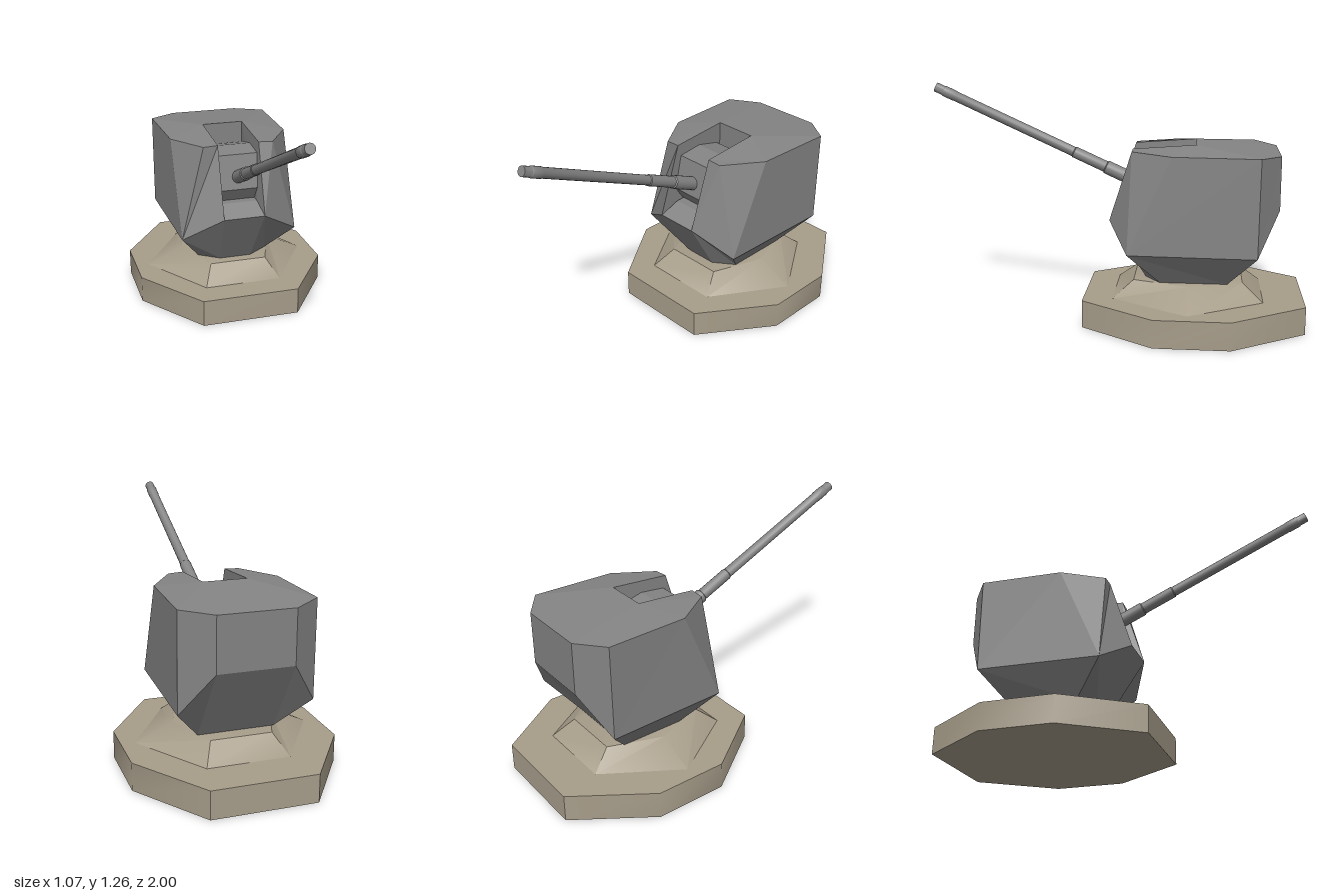
import * as THREE from 'three';
import { toCreasedNormals } from 'three/addons/utils/BufferGeometryUtils.js';

const steel = new THREE.MeshStandardMaterial({ color: 0x848484 });
steel.name = 'steel grey';
const concrete = new THREE.MeshStandardMaterial({ color: 0xa79d8a });
concrete.name = 'concrete tan';

const mirror = ([x, y, z]) => [-x, y, z];

// Fan-triangulates polygons; edges sharper than the crease angle stay hard
function polyGeometry(faces, crease) {
  const pos = [];
  for (const f of faces)
    for (let i = 1; i < f.length - 1; i++) pos.push(...f[0], ...f[i], ...f[i + 1]);
  const geo = new THREE.BufferGeometry();
  geo.setAttribute('position', new THREE.Float32BufferAttribute(pos, 3));
  geo.computeVertexNormals();
  return crease ? toCreasedNormals(geo, crease) : geo;
}

// Symmetric ring from its +x half, listed front to back
function ring(half, y) {
  const pts = half.map(([x, z]) => [x, y, z]);
  return [...pts, ...pts.map(mirror).reverse()];
}

function loft(low, high, crease) {
  const faces = low.map((p, i) => {
    const j = (i + 1) % low.length;
    return [p, low[j], high[j], high[i]];
  });
  return polyGeometry([...faces, high, [...low].reverse()], crease);
}

function turretShell() {
  const noseEdge = [0.115, 0.55, 0.035], frontLow = [0.327, 0.415, -0.075];
  const frontTop = [0.195, 0.933, -0.09], notchTop = [0.115, 0.937, -0.09];
  const sideTop = [0.33, 0.93, -0.3], backSideTop = [0.345, 0.928, -0.745];
  const backSideLow = [0.345, 0.415, -0.74];
  const backTop = [0.195, 0.92, -0.855], backLow = [0.195, 0.64, -0.855];
  const ridge = [0.115, 0.962, -0.42];
  const footFront = [0.09, 0.238, -0.16], footSide = [0.2, 0.238, -0.24], footBack = [0.2, 0.238, -0.595];
  const floorFront = [0.1, 0.605, -0.07], floorBack = [0.115, 0.605, -0.42];

  // Faces of the +x half
  const half = [
    [noseEdge, frontLow, frontTop, notchTop],
    [frontLow, sideTop, frontTop],
    [frontLow, backSideLow, backSideTop, sideTop],
    [backSideLow, backLow, backTop, backSideTop],
    [notchTop, frontTop, sideTop, ridge],
    [ridge, sideTop, backSideTop],
    [ridge, backSideTop, backTop],
    [noseEdge, footFront, footSide, frontLow],
    [frontLow, footSide, footBack, backSideLow],
    [backSideLow, footBack, backLow],
    [floorFront, noseEdge, notchTop, ridge, floorBack],
  ];
  // Faces spanning the centre line
  const span = (a, b) => [mirror(a), a, b, mirror(b)];
  const centre = [
    span(footFront, noseEdge),
    span(ridge, backTop),
    span(backTop, backLow),
    span(backLow, footBack),
    span(noseEdge, floorFront),
    span(floorFront, floorBack),
    span(floorBack, ridge),
    span(footBack, footFront),
  ];
  const mirrored = half.map(f => f.map(mirror).reverse());
  return polyGeometry([...half, ...mirrored, ...centre]);
}

function gunCradle() {
  // Side profile as (z, y), extruded across the slot
  const profile = [[-0.39, 0.6], [-0.12, 0.605], [-0.07, 0.68], [-0.11, 0.87], [-0.25, 0.885], [-0.39, 0.85]];
  const shape = new THREE.Shape(profile.map(p => new THREE.Vector2(...p)));
  const geo = new THREE.ExtrudeGeometry(shape, { depth: 0.224, bevelEnabled: false });
  return geo.rotateY(-Math.PI / 2).translate(0.112, 0, 0);
}

function gunBarrel() {
  // Stepped profile as (radius, distance from the breech)
  const profile = [
    [0.037, 0], [0.037, 0.2], [0.031, 0.205], [0.031, 0.39], [0.027, 0.395],
    [0.027, 1.1], [0.029, 1.105], [0.029, 1.165], [0.026, 1.17], [0.026, 1.216], [0, 1.216],
  ];
  const geo = new THREE.LatheGeometry(profile.map(p => new THREE.Vector2(...p)), 16);
  return toCreasedNormals(geo, 0.6).rotateX(Math.PI / 2 - 0.428).translate(0, 0.735, -0.12);
}

export function createModel() {
  const model = new THREE.Group();
  model.name = 'gunTurret';
  const add = (name, geo, mat) => {
    const mesh = new THREE.Mesh(geo, mat);
    mesh.name = name;
    model.add(mesh);
  };

  // Foundation
  const slab = [[0.27, 0.165], [0.537, -0.222], [0.537, -0.612], [0.27, -1]];
  add('baseSlab', loft(ring(slab, 0), ring(slab, 0.147), 0.7), concrete);
  const low = [[0.215, 0.01], [0.467, -0.39], [0.215, -0.785]];
  const high = [[0.16, -0.1], [0.265, -0.39], [0.16, -0.675]];
  add('pedestal', loft(ring(low, 0.146), ring(high, 0.238), 0.6), concrete);

  // Gun house
  add('turretShell', turretShell(), steel);
  add('gunCradle', gunCradle(), steel);
  add('gunBarrel', gunBarrel(), steel);
  return model;
}
